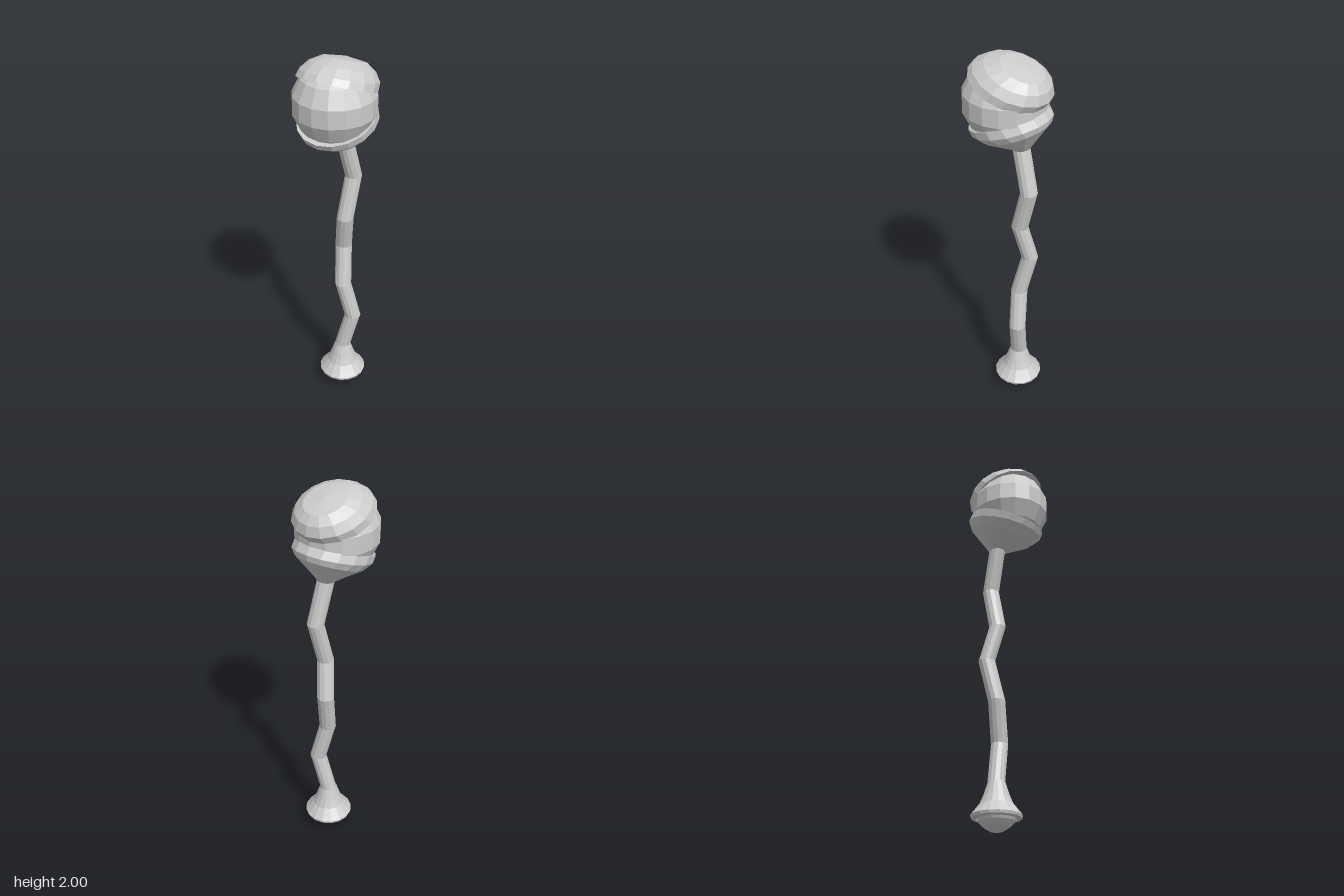
import * as THREE from 'three';

const material = new THREE.MeshStandardMaterial({ color: 0xcccccc, flatShading: true, side: THREE.DoubleSide });

// Skin through tilted rings listed bottom to top: [frontZ, frontY, backZ, backY, halfWidth, centreX]
function loft(name, rings, sides) {
  const positions = [], index = [];
  for (const [zf, yf, zb, yb, rx, cx = 0] of rings) {
    for (let i = 0; i < sides; i++) {
      const a = (i / sides) * Math.PI * 2, c = Math.cos(a);
      positions.push(
        cx + rx * Math.sin(a),
        (yf + yb) / 2 + ((yf - yb) / 2) * c,
        (zf + zb) / 2 + ((zf - zb) / 2) * c
      );
    }
  }
  for (let j = 0; j < rings.length - 1; j++) {
    for (let i = 0; i < sides; i++) {
      const k = (i + 1) % sides;
      const a = j * sides + i, b = j * sides + k, c = a + sides, d = b + sides;
      index.push(a, b, d, a, d, c);
    }
  }
  const geometry = new THREE.BufferGeometry();
  geometry.setAttribute('position', new THREE.Float32BufferAttribute(positions, 3));
  geometry.setIndex(index);
  geometry.computeVertexNormals();
  const mesh = new THREE.Mesh(geometry, material);
  mesh.name = name;
  return mesh;
}

// Level round ring
const level = (x, y, z, r) => [z + r, y, z - r, y, r, x];

export function createModel() {
  const group = new THREE.Group();
  group.name = 'eyeStalk';

  // Eyeball
  const eye = new THREE.Mesh(new THREE.SphereGeometry(0.208, 16, 7), material);
  eye.name = 'eyeball';
  eye.scale.z = 1.03;
  eye.position.set(0, 1.778, 0.013);
  group.add(eye);

  // Upper lid, from its inner rim to the crown
  group.add(loft('upperLid', [
    [0.15, 1.925, -0.18, 1.785, 0.178],
    [0.185, 1.94, -0.19, 1.783, 0.196],
    [0.16, 1.965, -0.222, 1.825, 0.19],
    [0.105, 1.99, -0.215, 1.875, 0.158],
    [0.025, 2.0, -0.185, 1.918, 0.105],
    [-0.085, 1.972, -0.085, 1.972, 0]
  ], 16));

  // Lower lid, from the stalk up to its inner rim
  group.add(loft('lowerLid', [
    [-0.031, 1.545, -0.117, 1.545, 0.043],
    [0.02, 1.553, -0.155, 1.605, 0.09],
    [0.11, 1.565, -0.217, 1.70, 0.165],
    [0.17, 1.595, -0.222, 1.732, 0.194],
    [0.187, 1.625, -0.19, 1.775, 0.196],
    [0.15, 1.635, -0.18, 1.772, 0.178]
  ], 16));

  // Crooked stalk
  const joints = [
    [0, 0.247, -0.073], [0.05, 0.458, -0.093], [0, 0.67, -0.073], [-0.025, 0.893, -0.12],
    [0.008, 1.09, -0.077], [0.022, 1.32, -0.135], [0, 1.56, -0.074]
  ];
  group.add(loft('stalk', joints.map(([x, y, z]) => level(x, y, z, 0.044)), 12));

  // Flared foot and the rounded knob beneath it
  const foot = [[0.1, 0.066], [0.124, 0.07], [0.128, 0.084], [0.112, 0.103], [0.083, 0.14], [0.066, 0.18], [0.043, 0.25]];
  group.add(loft('foot', foot.map(([r, y]) => level(0, y, -0.07, r)), 16));
  const knob = [[0, 0], [0.035, 0.01], [0.068, 0.031], [0.09, 0.054], [0.1, 0.075]];
  group.add(loft('knob', knob.map(([r, y]) => level(0, y, -0.07, r)), 16));

  return group;
}
